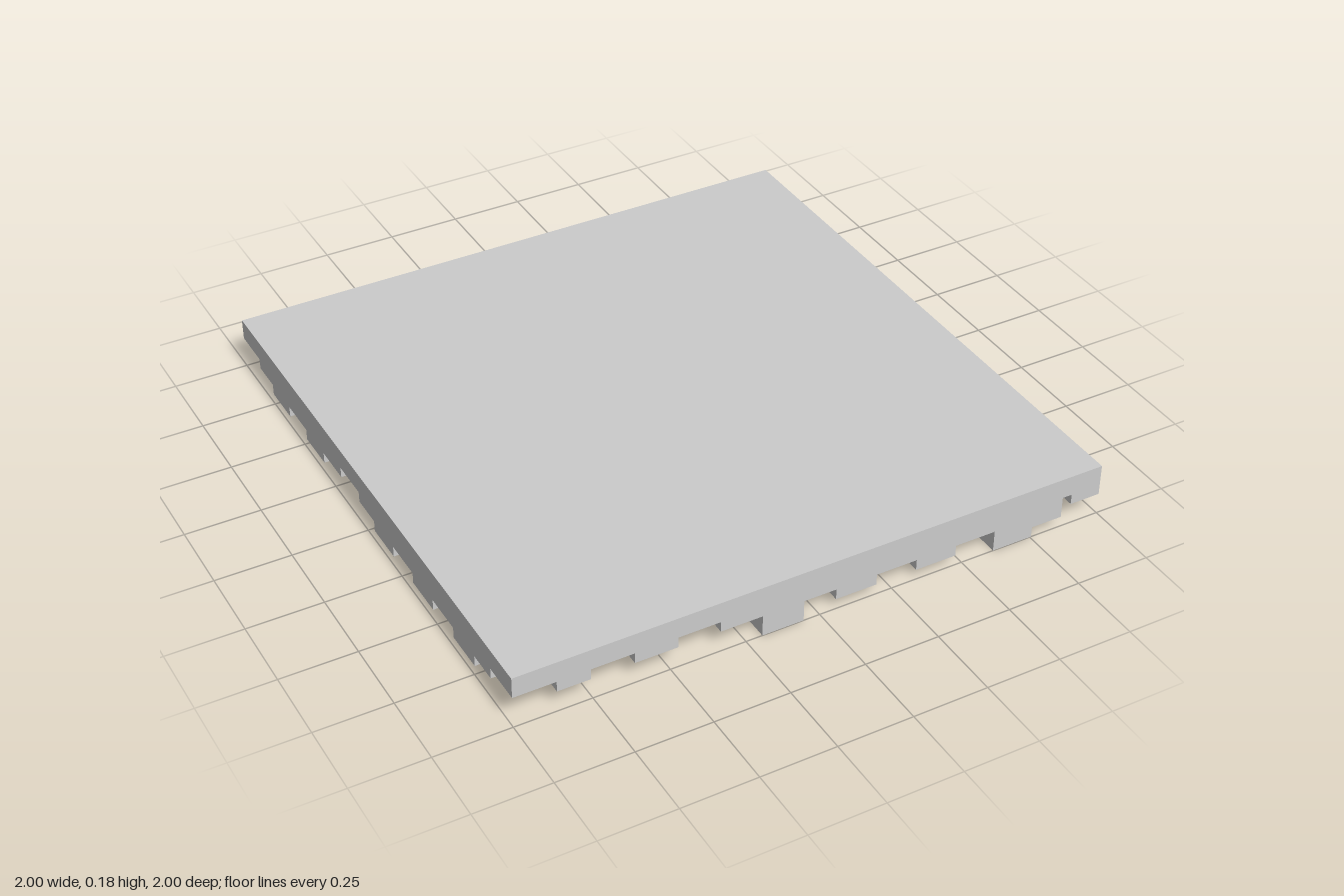
import * as THREE from 'three';

// Vertical levels, bottom to top
const TALL = 0, MID = 0.036, RIM = 0.073, NOTCH = 0.109, CEILING = 0.145, TOP = 0.18;
const IN = 0.862; // inner line of the rim
const WIDTH = 1 - IN;
const SLOTS = [-0.755, -0.475, -0.195, 0.055, 0.335, 0.615]; // start of each tooth slot
const SLOT = 0.14;

const material = new THREE.MeshStandardMaterial({ color: 0xcccccc, flatShading: true });

function box(name, w, h, d, x, y, z) {
  const mesh = new THREE.Mesh(new THREE.BoxGeometry(w, h, d), material);
  mesh.name = name;
  mesh.position.set(x, y, z);
  return mesh;
}

// Rim along one side: a stepped profile, one level per slot, extruded across the rim
function rim(name, levels, endLevel = RIM) {
  const points = [[-IN, CEILING], [-IN, RIM]];
  SLOTS.forEach((start, i) => {
    if (levels[i] === RIM) return;
    points.push([start, RIM], [start, levels[i]]);
    points.push([start + SLOT, levels[i]], [start + SLOT, RIM]);
  });
  if (endLevel !== RIM) {
    points.pop();
    points.push([SLOTS[5] + SLOT, endLevel]);
  }
  points.push([IN, endLevel], [IN, CEILING]);
  const shape = new THREE.Shape(points.map(([u, y]) => new THREE.Vector2(u, y)));
  const geometry = new THREE.ExtrudeGeometry(shape, { depth: WIDTH, bevelEnabled: false });
  geometry.translate(0, 0, IN);
  const mesh = new THREE.Mesh(geometry, material);
  mesh.name = name;
  return mesh;
}

export function createModel() {
  const model = new THREE.Group();
  model.name = 'toothedPanel';

  // Flat panel
  model.add(box('panel', 2, TOP - CEILING, 2, 0, (TOP + CEILING) / 2, 0));

  // Four toothed rims; levels run along +x in front, then turn with the side
  const front = rim('frontRim', [NOTCH, NOTCH, TALL, MID, MID, TALL], MID);
  const right = rim('rightRim', [TALL, TALL, MID, NOTCH, MID, MID]);
  const back = rim('backRim', [MID, MID, MID, TALL, RIM, MID]);
  const left = rim('leftRim', [MID, MID, NOTCH, MID, MID, MID]);
  right.rotation.y = Math.PI / 2; // runs towards -z
  back.rotation.y = Math.PI; // runs towards -x
  left.rotation.y = -Math.PI / 2; // runs towards +z
  model.add(front, right, back, left);

  // Shallow corner pads
  const c = (1 + IN) / 2;
  for (const sx of [-1, 1]) {
    for (const sz of [-1, 1]) {
      model.add(box('cornerPad', WIDTH, CEILING - NOTCH, WIDTH, sx * c, (CEILING + NOTCH) / 2, sz * c));
    }
  }

  // Small stud under one front corner
  model.add(box('cornerStud', 0.105, NOTCH - RIM, 0.105, 0.9475, (NOTCH + RIM) / 2, 0.9475));

  return model;
}
